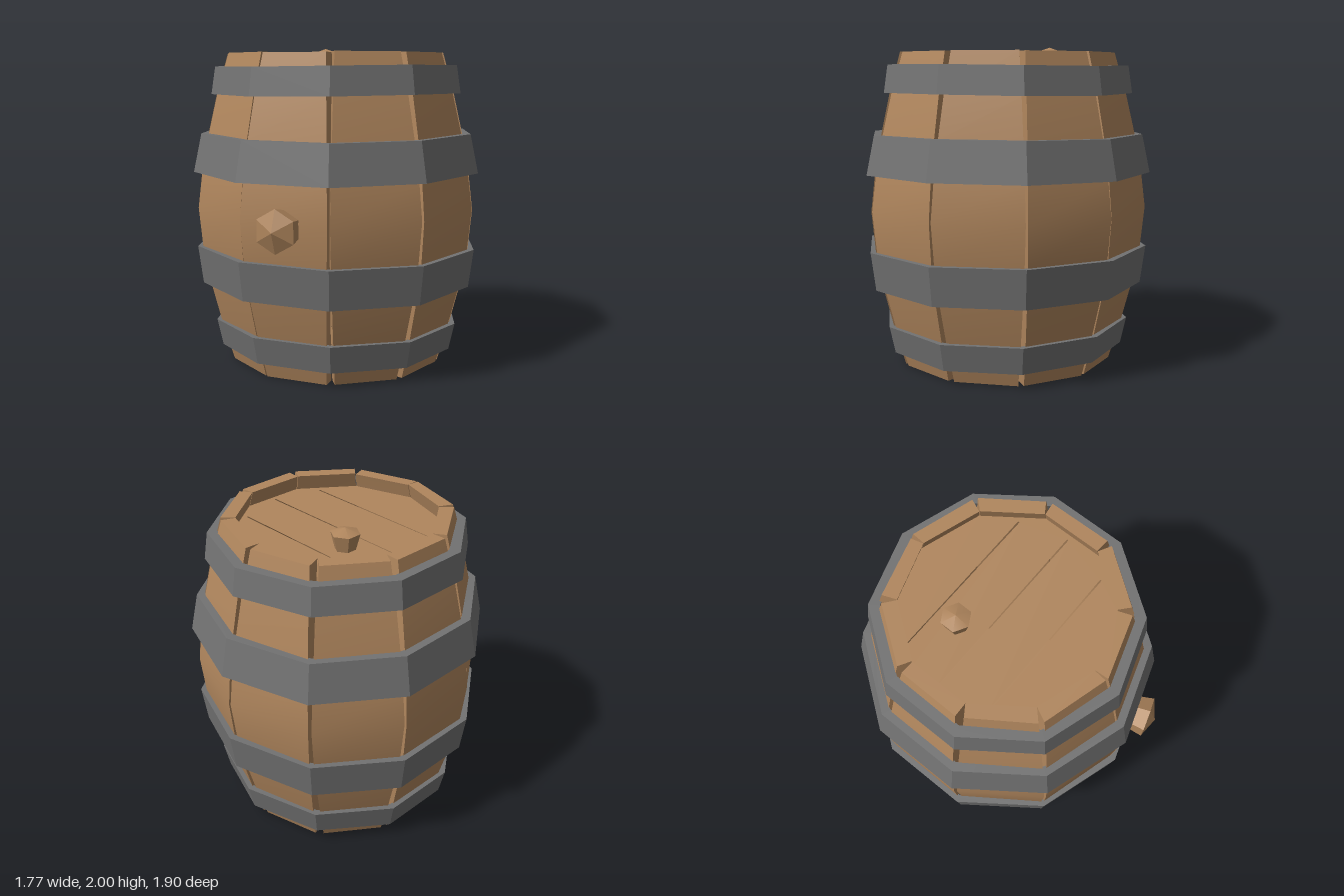
import * as THREE from 'three';
import { toCreasedNormals } from 'three/addons/utils/BufferGeometryUtils.js';

const SIDES = 10;
const STEP = (Math.PI * 2) / SIDES;
const COS = Math.cos(STEP / 2);
const TAN = Math.tan(STEP / 2);

export function createModel() {
  const wood = new THREE.MeshStandardMaterial({ color: 0xb0865d });
  wood.name = 'wood';
  const iron = new THREE.MeshStandardMaterial({ color: 0x727272 });
  iron.name = 'iron';

  const barrel = new THREE.Group();
  barrel.name = 'barrel';
  barrel.position.z = -0.03;

  // Seeded jitter in -1..1 for the hand-made look
  let seed = 7;
  const jitter = () => {
    seed = (seed * 16807) % 2147483647;
    return (seed / 2147483647) * 2 - 1;
  };

  const add = (name, geometry, material) => {
    const mesh = new THREE.Mesh(toCreasedNormals(geometry, 0.4), material);
    mesh.name = name;
    barrel.add(mesh);
    return mesh;
  };

  // Bulging outline of the staves: height, distance of the flat from the axis
  const outline = [
    [0, 0.66], [0.25, 0.73], [0.5, 0.79], [0.75, 0.835], [1, 0.857],
    [1.22, 0.832], [1.46, 0.79], [1.71, 0.735], [1.965, 0.665],
  ];

  // One stave: a four-cornered section swept up the outline
  function staveGeometry(angle) {
    const sin = Math.sin(angle), cos = Math.cos(angle);
    const gapL = 0.012 + 0.007 * jitter(), gapR = 0.012 + 0.007 * jitter();
    const skew = 0.008 * jitter(), lift = 0.005 * jitter();
    const positions = [], index = [];
    outline.forEach(([y, r], k) => {
      const inner = r - 0.085;
      const spread = 0.5 + Math.abs(y - 1);
      const corners = [
        [-r * TAN + gapL * spread, r + skew],
        [r * TAN - gapR * spread, r - skew],
        [inner * TAN - 0.002, inner],
        [-inner * TAN + 0.002, inner],
      ];
      const yy = k === outline.length - 1 ? y + lift : y;
      for (const [t, d] of corners) positions.push(t * cos + d * sin, yy, -t * sin + d * cos);
      if (k === 0) return;
      for (let j = 0; j < 4; j++) {
        const a = (k - 1) * 4 + j, b = (k - 1) * 4 + ((j + 1) % 4);
        index.push(a, b, b + 4, a, b + 4, a + 4);
      }
    });
    const top = (outline.length - 1) * 4;
    index.push(top, top + 1, top + 2, top, top + 2, top + 3, 0, 3, 2, 0, 2, 1);
    const geometry = new THREE.BufferGeometry();
    geometry.setAttribute('position', new THREE.Float32BufferAttribute(positions, 3));
    geometry.setIndex(index);
    return geometry;
  }
  for (let i = 0; i < SIDES; i++) add('stave' + (i + 1), staveGeometry((i + 0.5) * STEP), wood);

  // Iron hoops: bottom and top height, outer flat distance at each, inner at each
  const hoops = [
    ['bottomHoop', 0.095, 0.265, 0.728, 0.763, 0.68, 0.72],
    ['lowerHoop', 0.51, 0.75, 0.84, 0.87, 0.785, 0.825],
    ['upperHoop', 1.225, 1.465, 0.884, 0.835, 0.825, 0.78],
    ['topHoop', 1.715, 1.885, 0.77, 0.745, 0.72, 0.68],
  ];
  for (const [name, y0, y1, out0, out1, in0, in1] of hoops) {
    const profile = [[out0, y0], [out1, y1], [in1, y1], [in0, y0], [out0, y0]]
      .map(([r, y]) => new THREE.Vector2(r / COS, y));
    const geometry = new THREE.LatheGeometry(profile, SIDES);
    // Slight waviness of the edges, periodic so the seam stays closed
    const p = geometry.attributes.position;
    const phase = jitter() * 3;
    for (let i = 0; i < p.count; i++) {
      const a = Math.atan2(p.getX(i), p.getZ(i));
      p.setY(i, p.getY(i) + 0.006 * Math.sin(2 * a + phase));
    }
    add(name, geometry, iron);
  }

  // Lid and base: decagons with tapered slits between the planks
  function headGeometry() {
    const shape = new THREE.Shape();
    for (let i = 0; i < SIDES; i++) {
      const x = 0.64 * Math.sin(i * STEP), y = 0.64 * Math.cos(i * STEP);
      if (i) shape.lineTo(x, y);
      else shape.moveTo(x, y);
    }
    shape.closePath();
    for (const [y, half] of [[0.31, 0.49], [0.015, 0.575], [-0.29, 0.49]]) {
      const slit = new THREE.Path();
      slit.moveTo(-half, y + 0.004);
      slit.lineTo(half, y + 0.003);
      slit.lineTo(half, y - 0.007);
      slit.lineTo(-half, y - 0.002);
      slit.closePath();
      shape.holes.push(slit);
    }
    return new THREE.ExtrudeGeometry(shape, { depth: 0.06, bevelEnabled: false }).rotateX(-Math.PI / 2);
  }
  add('lid', headGeometry(), wood).position.y = 1.81;
  add('base', headGeometry(), wood).position.y = 0.08;

  // Six-sided plugs, flared and slightly pointed
  const plugGeometry = (foot, head, height, point) => new THREE.LatheGeometry(
    [[0, 0], [foot, 0], [head, height], [0, height + point]].map(([x, y]) => new THREE.Vector2(x, y)), 6);

  const lidPlug = add('lidPlug', plugGeometry(0.06, 0.09, 0.115, 0.03), wood);
  lidPlug.position.set(-0.235, 1.855, -0.17);

  const tilt = STEP / 2;
  const bung = add('sideBung', plugGeometry(0.1, 0.13, 0.155, 0.05)
    .rotateX(Math.PI / 2).rotateY(tilt), wood);
  bung.position.set(0.815 * Math.sin(tilt), 0.97, 0.815 * Math.cos(tilt));

  return barrel;
}
